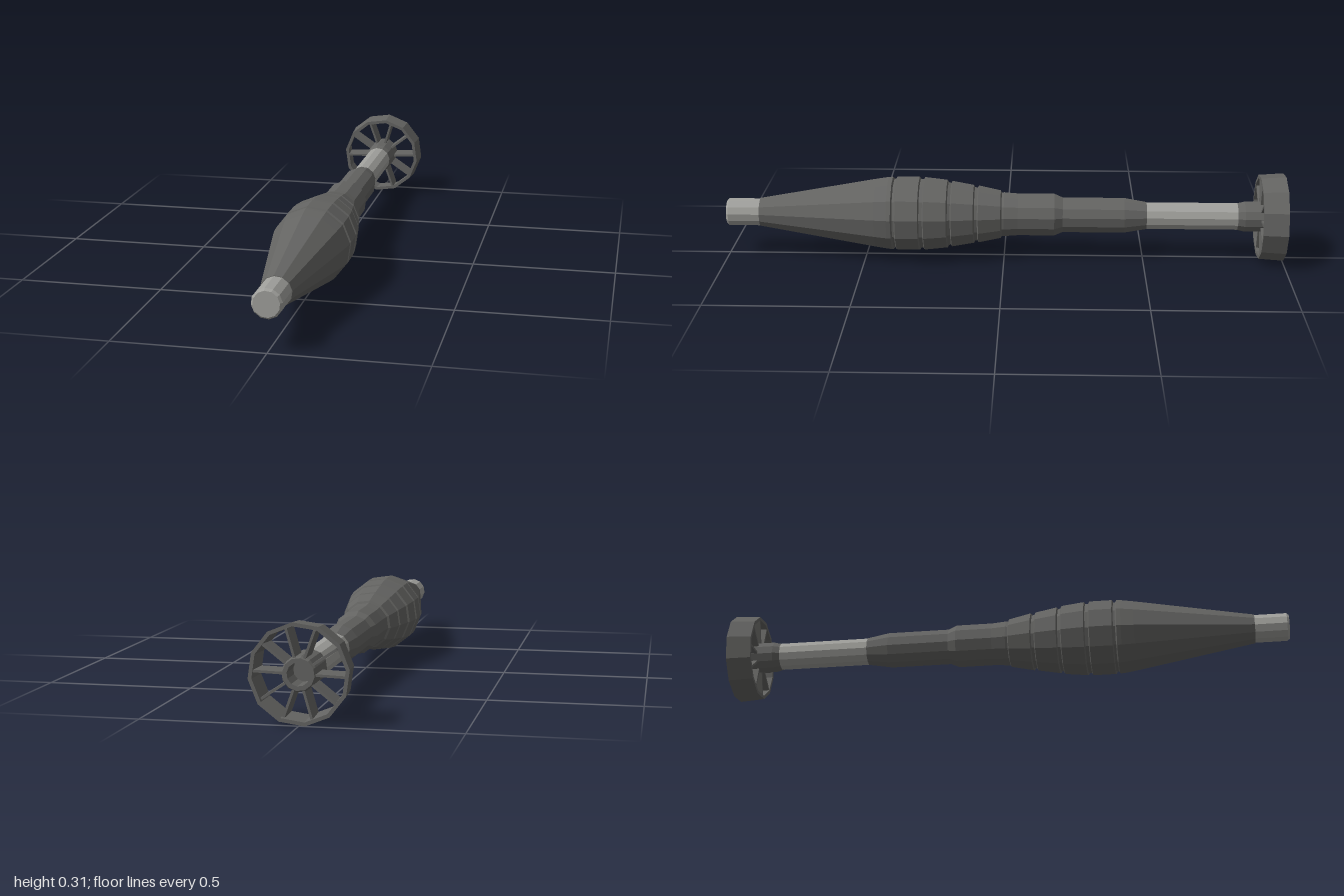
import * as THREE from 'three';

const SIDES = 12;
const AXIS_Y = 0.157;
const TWIST = THREE.MathUtils.degToRad(7);

export function createModel() {
  const group = new THREE.Group();
  group.name = 'finnedProjectile';

  const darkMetal = new THREE.MeshStandardMaterial({ color: 0x646462 });
  const lightMetal = new THREE.MeshStandardMaterial({ color: 0xa0a09c });
  darkMetal.name = 'darkMetal';
  lightMetal.name = 'lightMetal';
  darkMetal.flatShading = lightMetal.flatShading = true;

  // Turned part along z; profile is [radius, z] from back to front
  function turned(name, profile, material, twist = TWIST) {
    const points = profile.map(([r, z]) => new THREE.Vector2(r, z));
    const geometry = new THREE.LatheGeometry(points, SIDES, twist);
    geometry.rotateX(Math.PI / 2);
    const mesh = new THREE.Mesh(geometry, material);
    mesh.name = name;
    mesh.position.y = AXIS_Y;
    group.add(mesh);
  }

  // Front cap with a small bevel
  turned('noseCap', [[0.05, 0.88], [0.05, 0.992], [0.043, 1], [0, 1]], lightMetal);

  // Long tapering nose
  turned('noseCone', [[0.126, 0.395], [0.134, 0.4], [0.133, 0.415], [0.126, 0.46], [0.052, 0.88], [0.048, 0.88]], darkMetal);

  // Banded bulge: [back z, back radius, front z, front radius]
  const bands = [
    [0.008, 0.088, 0.095, 0.105],
    [0.105, 0.107, 0.19, 0.121],
    [0.2, 0.125, 0.288, 0.134],
    [0.3, 0.135, 0.388, 0.135],
  ];
  const bulge = [];
  for (const [z0, r0, z1, r1] of bands) {
    bulge.push([r0 - 0.008, z0], [r0, z0 + 0.004], [r1, z1 - 0.004], [r1 - 0.008, z1]);
  }
  bulge.push([0.126, 0.396]);
  turned('bandedBulge', bulge, darkMetal);

  // Stepped neck behind the bulge
  turned('neck', [
    [0.048, -0.51], [0.05, -0.51], [0.064, -0.43], [0.064, -0.21],
    [0.077, -0.18], [0.077, -0.05], [0.081, 0], [0.08, 0.008],
  ], darkMetal);

  // Bare tail tube
  turned('tailTube', [[0.049, -0.84], [0.049, -0.51]], lightMetal);

  // Hollow hub carrying the fins
  turned('finHub', [
    [0, -0.92], [0.036, -0.92], [0.036, -1], [0.05, -1],
    [0.055, -0.99], [0.055, -0.86], [0.049, -0.835],
  ], darkMetal);

  // Shroud ring around the fins
  turned('shroudRing', [
    [0.139, -0.912], [0.145, -1], [0.157, -1], [0.151, -0.912], [0.139, -0.912],
  ], darkMetal, -TWIST);

  // Radial fins between the hub and the ring
  const fins = new THREE.Group();
  fins.name = 'tailFins';
  fins.position.y = AXIS_Y;
  const finGeometry = new THREE.BoxGeometry(0.092, 0.008, 0.08);
  finGeometry.translate(0.094, 0, -0.955);
  for (let i = 0; i < 10; i++) {
    const fin = new THREE.Mesh(finGeometry, darkMetal);
    fin.name = 'tailFin';
    fin.rotation.z = THREE.MathUtils.degToRad(2 + i * 36);
    fins.add(fin);
  }
  group.add(fins);

  return group;
}
